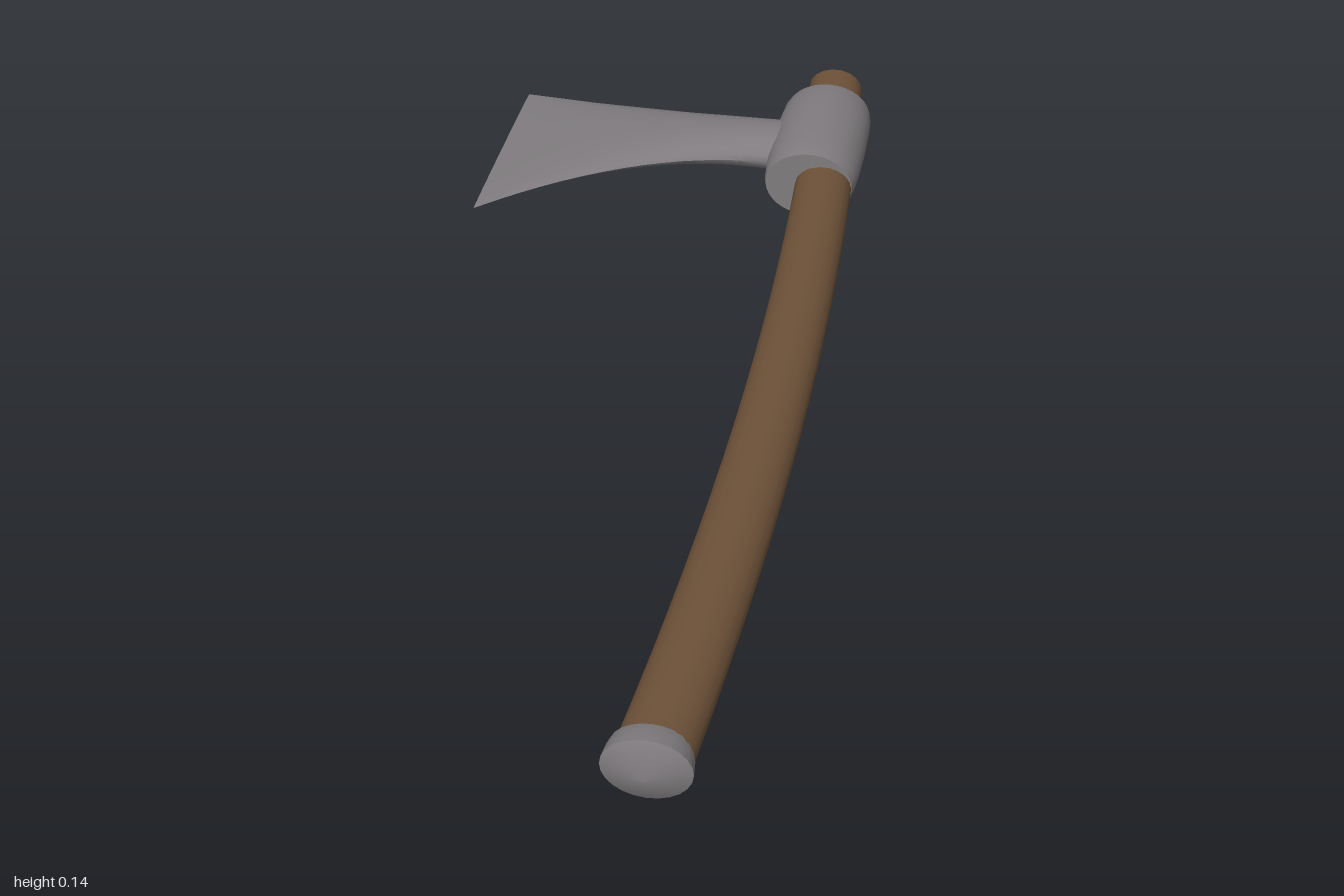
import * as THREE from 'three';
import { toCreasedNormals } from 'three/addons/utils/BufferGeometryUtils.js';

const MID_Y = 0.0685;

// Closed skin over elliptical rings; each ring has centre c and half-axes u, v (u x v points along the loft).
function loft(rings, sides, crease = 0.7) {
  const pos = [], idx = [];
  for (const { c, u, v } of rings) {
    for (let j = 0; j < sides; j++) {
      const a = (j / sides) * Math.PI * 2, ca = Math.cos(a), sa = Math.sin(a);
      for (let k = 0; k < 3; k++) pos.push(c[k] + u[k] * ca + v[k] * sa);
    }
  }
  const last = rings.length - 1, start = rings.length * sides, end = start + 1;
  pos.push(...rings[0].c, ...rings[last].c);
  for (let j = 0; j < sides; j++) {
    const n = (j + 1) % sides;
    for (let i = 0; i < last; i++) {
      const a = i * sides, b = a + sides;
      idx.push(a + j, a + n, b + n, a + j, b + n, b + j);
    }
    idx.push(start, n, j, end, last * sides + j, last * sides + n);
  }
  const g = new THREE.BufferGeometry();
  g.setAttribute('position', new THREE.Float32BufferAttribute(pos, 3));
  g.setIndex(idx);
  return toCreasedNormals(g, crease);
}

// Ring facing along z
const ringZ = (x, z, rx, ry) => ({ c: [x, MID_Y, z], u: [rx, 0, 0], v: [0, ry, 0] });

export function createModel() {
  const wood = new THREE.MeshStandardMaterial({ color: 0x6e5239 });
  wood.name = 'wood';
  const steel = new THREE.MeshStandardMaterial({ color: 0x807c7f });
  steel.name = 'steel';

  const group = new THREE.Group();
  group.name = 'axe';
  const add = (name, geometry, material) => {
    const mesh = new THREE.Mesh(geometry, material);
    mesh.name = name;
    group.add(mesh);
  };

  // Gently bowed handle, slightly thicker toward the grip
  const bow = z => 0.238 + 0.042 * (1 - z * z);
  const handle = [];
  for (let i = 0; i <= 20; i++) {
    const t = i / 20, z = -1 + 1.96 * t;
    handle.push(ringZ(bow(z), z, 0.05 + 0.006 * t, 0.039 + 0.003 * t));
  }
  add('handle', loft(handle, 18), wood);

  // Pommel cap with a shallow pointed end
  add('pommelCap', loft([
    [0.935, 0.058, 0.044],
    [0.95, 0.061, 0.048],
    [0.975, 0.0635, 0.05],
    [1, 0.001, 0.001],
  ].map(([z, rx, ry]) => ringZ(0.238, z, rx, ry)), 24), steel);

  // Barrel-shaped eye around the handle
  add('eyeCollar', loft([
    [-0.89, 0.91], [-0.875, 0.95], [-0.83, 0.985], [-0.75, 1],
    [-0.67, 0.985], [-0.625, 0.95], [-0.61, 0.91],
  ].map(([z, s]) => ringZ(0.238, z, 0.0865 * s, 0.0685 * s)), 32), steel);

  // Bearded blade: rounded at the root, thinning and flaring to the cutting edge
  const blade = [];
  for (let i = 0; i <= 16; i++) {
    const x = -0.337 + 0.537 * (i / 16);
    const s = Math.max(0, (0.155 - x) / 0.492);
    const back = -0.823 - 0.034 * s, beard = -0.68 + 0.27 * s * s;
    const h = 0.003 + 0.033 * (x + 0.337) / 0.492;
    blade.push({
      c: [x, MID_Y, (back + beard) / 2],
      u: [0, h, 0],
      v: [0, 0, (beard - back) / 2],
    });
  }
  add('blade', loft(blade, 20), steel);

  return group;
}
